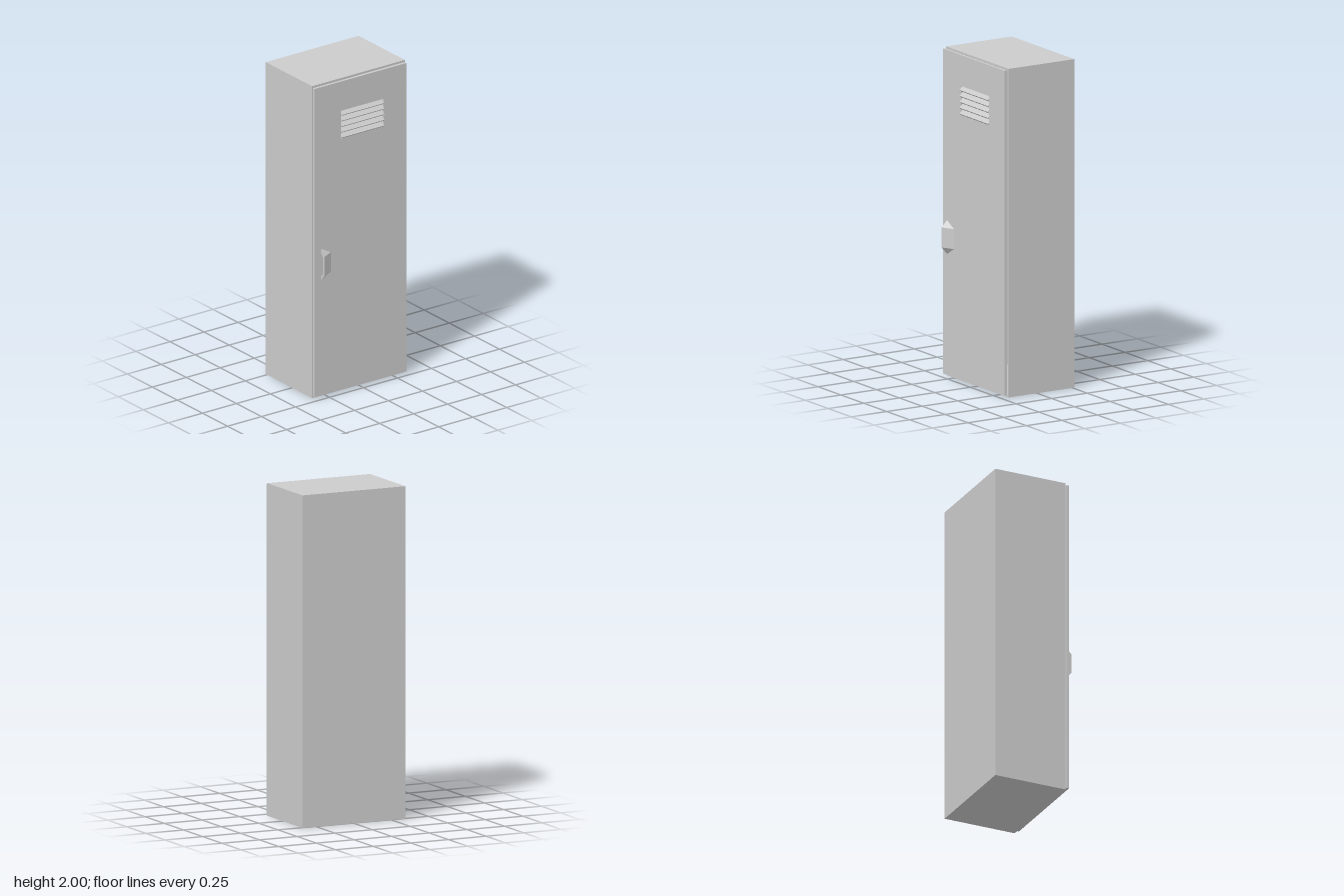
import * as THREE from 'three';

const grey = new THREE.MeshStandardMaterial({ color: 0xcccccc, flatShading: true, side: THREE.DoubleSide });

function add(parent, name, geometry) {
  const mesh = new THREE.Mesh(geometry, grey);
  mesh.name = name;
  parent.add(mesh);
  return mesh;
}

// Upright panel with a rectangular hole, extruded along x from x0 to x1; rectangles are [z0, z1, y0, y1]
function framedPanel(outer, hole, x0, x1) {
  const corners = ([z0, z1, y0, y1]) =>
    [[-z0, y0], [-z0, y1], [-z1, y1], [-z1, y0]].map(([u, v]) => new THREE.Vector2(u, v));
  const shape = new THREE.Shape(corners(outer));
  shape.holes.push(new THREE.Path(corners(hole)));
  return new THREE.ExtrudeGeometry(shape, { depth: x1 - x0, bevelEnabled: false })
    .rotateY(Math.PI / 2).translate(x0, 0, 0);
}

// Six corners of the handle wedge: hinge edge, outer edge, open-side base
function wedge(zNear, xOut, yLow, yHigh, baseLow, baseHigh) {
  const x = 0.224, z = 0.295;
  return [
    [x, yLow, zNear], [x, yHigh, zNear],
    [xOut, yLow, z], [xOut, yHigh, z],
    [x, baseLow, z], [x, baseHigh, z],
  ];
}

// Hollow pull handle: outer shell, inner shell and the rim joining them
function handleGeometry() {
  const points = [
    ...wedge(0.22, 0.262, 0.793, 0.915, 0.748, 0.955),
    ...wedge(0.25, 0.245, 0.798, 0.908, 0.774, 0.93),
  ];
  const index = [
    0, 2, 3, 0, 3, 1, 1, 3, 5, 0, 4, 2,
    6, 9, 8, 6, 7, 9, 7, 11, 9, 6, 8, 10,
    4, 10, 8, 4, 8, 2, 2, 8, 9, 2, 9, 3, 3, 9, 11, 3, 11, 5,
  ];
  const geometry = new THREE.BufferGeometry();
  geometry.setAttribute('position', new THREE.Float32BufferAttribute(points.flat(), 3));
  geometry.setIndex(index);
  const flat = geometry.toNonIndexed();
  flat.computeVertexNormals();
  return flat;
}

export function createModel() {
  const locker = new THREE.Group();
  locker.name = 'locker';

  // Hollow cabinet, open towards the door
  const cabinet = new THREE.Group();
  cabinet.name = 'cabinet';
  locker.add(cabinet);
  add(cabinet, 'cabinetWalls', framedPanel([-0.342, 0.341, 0, 2], [-0.33, 0.329, 0.012, 1.988], -0.25, 0.2));
  add(cabinet, 'backPanel', new THREE.BoxGeometry(0.012, 2, 0.683)).position.set(-0.256, 1, -0.0005);

  // Door with a vent opening
  const door = new THREE.Group();
  door.name = 'door';
  locker.add(door);
  add(door, 'doorPanel', framedPanel([-0.334, 0.34, 0.013, 1.99], [-0.166, 0.145, 1.625, 1.802], 0.208, 0.224));

  // Louvres sloping down and outwards
  for (let i = 0; i < 5; i++) {
    const slat = add(door, 'ventSlat', new THREE.BoxGeometry(0.035, 0.012, 0.311));
    slat.position.set(0.2165, 1.786 - i * 0.036, -0.0105);
    slat.rotation.z = -Math.PI / 4;
  }

  add(door, 'handle', handleGeometry());

  return locker;
}
